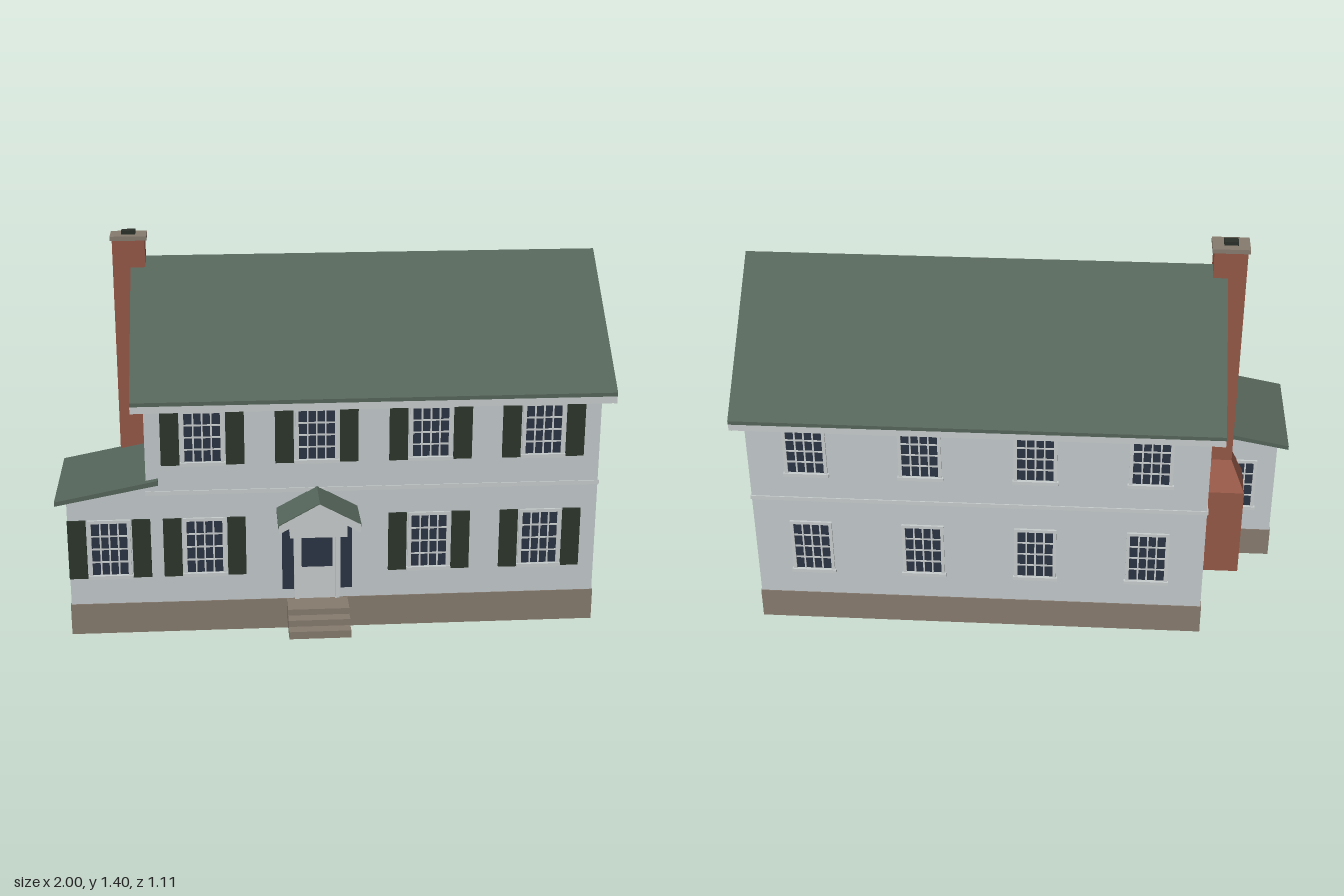
import * as THREE from 'three';

const mat = (name, color) => {
  const m = new THREE.MeshStandardMaterial({ color });
  m.name = name;
  return m;
};

export function createModel() {
  const house = new THREE.Group();
  house.name = 'house';
  const siding = mat('siding', 0xc3cacc), trim = mat('trim', 0xc8cdcd), roofGreen = mat('roof green', 0x55655a);
  const stone = mat('foundation stone', 0x877b6e), brick = mat('brick', 0x955846);
  const glass = mat('glass', 0x2c3444), shutterGreen = mat('shutter green', 0x2c362c), potDark = mat('flue', 0x2a302a);

  const add = (name, geo, m, parent = house) => {
    const mesh = new THREE.Mesh(geo, m);
    mesh.name = name;
    parent.add(mesh);
    return mesh;
  };
  // Box given by its limits on each axis
  const box = (name, m, x0, x1, y0, y1, z0, z1, parent) =>
    add(name, new THREE.BoxGeometry(x1 - x0, y1 - y0, z1 - z0)
      .translate((x0 + x1) / 2, (y0 + y1) / 2, (z0 + z1) / 2), m, parent);
  const shapeOf = pts => new THREE.Shape(pts.map(p => new THREE.Vector2(p[0], p[1])));
  const prism = (pts, depth) => new THREE.ExtrudeGeometry(shapeOf(pts), { depth, bevelEnabled: false });
  // Inverted V slab, t measured vertically
  const chevron = (half, apex, eave, t) => [
    [-half, eave], [-half, eave - t], [0, apex - t], [half, eave - t], [half, eave], [0, apex]];
  // Extrude a z-y profile along x
  const alongX = (pts, x0, x1, zc) => prism(pts, x1 - x0).rotateY(Math.PI / 2).translate(x0, 0, zc);

  // Main block
  const L = -0.676, R = 0.952, F = 0.378, B = -0.504, ZC = -0.063, H = 0.441;
  add('mainWalls', alongX([[-H, 0.1], [H, 0.1], [H, 0.915], [0, 1.283], [-H, 0.915]], L, R, ZC), siding);
  box('mainFoundation', stone, L - 0.003, R + 0.003, 0, 0.118, B - 0.003, F + 0.003);
  box('beltCourse', trim, L - 0.004, R + 0.004, 0.537, 0.552, B - 0.004, F + 0.004);

  // Main roof with rake boards and fascias
  const RX0 = -0.72, RX1 = 0.995;
  add('mainRoof', alongX(chevron(0.491, 1.305, 0.9, 0.014), RX0, RX1, ZC), roofGreen);
  for (const x of [RX0, RX1 - 0.012])
    add('rakeBoard', alongX(chevron(0.488, 1.3, 0.895, 0.036), x, x + 0.012, ZC), trim);
  for (const s of [-1, 1]) {
    const z = ZC + s * 0.483;
    box('eaveFascia', trim, RX0 + 0.001, RX1 - 0.001, 0.86, 0.89, z - 0.005, z + 0.005);
  }

  // Side wing with lean-to roof
  const WX = -0.96, WB = -0.02;
  add('wingWalls', prism([[WX, 0.1], [-0.66, 0.1], [-0.66, 0.573], [WX, 0.513]], F - 0.001 - WB)
    .translate(0, 0, WB), siding);
  box('wingFoundation', stone, WX - 0.003, -0.66, 0, 0.118, WB - 0.003, F + 0.003);
  add('wingRoof', prism([[-1, 0.513], [-0.632, 0.583], [-0.632, 0.601], [-1, 0.529]], 0.446)
    .translate(0, 0, -0.042), roofGreen);

  // Chimney: wide base, sloped shoulder, shaft, cap and flue
  box('chimneyBase', brick, -0.834, -0.66, 0.03, 0.4, -0.177, 0.05);
  const shoulder = new THREE.BoxGeometry(1, 1, 1);
  const p = shoulder.attributes.position;
  for (let i = 0; i < p.count; i++) {
    const top = p.getY(i) > 0;
    p.setXYZ(i, p.getX(i) > 0 ? -0.66 : top ? -0.784 : -0.834, top ? 0.5 : 0.4,
      p.getZ(i) > 0 ? (top ? -0.022 : 0.05) : (top ? -0.104 : -0.177));
  }
  shoulder.computeVertexNormals();
  add('chimneyShoulder', shoulder, brick);
  box('chimneyShaft', brick, -0.784, -0.666, 0.5, 1.372, -0.104, -0.022);
  box('chimneyCap', stone, -0.791, -0.659, 1.372, 1.388, -0.112, -0.014);
  box('chimneyFlue', potDark, -0.75, -0.7, 1.388, 1.402, -0.08, -0.046);

  // Window on a wall, built facing +z and then turned
  const W = 0.152;
  const addWindow = (x, z, turn, upper, shutters = false) => {
    const [y0, y1] = upper ? [0.65, 0.855] : [0.222, 0.446];
    const g = new THREE.Group();
    g.name = 'window';
    g.position.set(x, 0, z);
    g.rotation.y = turn;
    house.add(g);
    const h = W / 2, b = 0.012;
    box('glass', glass, -h + b, h - b, y0 + b, y1 - b, -0.002, 0.002, g);
    for (const s of [-1, 1]) {
      const c = s * (h - b / 2);
      box('frameSide', trim, c - b / 2, c + b / 2, y0, y1, -0.002, 0.007, g);
      if (shutters) box('shutter', shutterGreen, s * 0.115 - 0.033, s * 0.115 + 0.033, y0, y1, -0.002, 0.008, g);
    }
    box('frameTop', trim, -h, h, y1 - b, y1, -0.002, 0.0075, g);
    box('sill', trim, -h - 0.005, h + 0.005, y0 - 0.003, y0 + b - 0.002, -0.002, 0.012, g);
    for (let i = 1; i < 4; i++) {
      const u = -h + b + (W - 2 * b) * i / 4, v = y0 + b + (y1 - y0 - 2 * b) * i / 4;
      box('muntin', trim, u - 0.003, u + 0.003, y0 + b, y1 - b, -0.001, 0.005, g);
      box('muntin', trim, -h + b, h - b, v - 0.003, v + 0.003, -0.001, 0.0045, g);
    }
  };
  const DX = -0.067;
  for (const x of [-0.472, DX, 0.34, 0.746]) {
    addWindow(x, F, 0, true, true);
    if (x !== DX) addWindow(x, F, 0, false, true);
    for (const up of [true, false]) addWindow(x, B, Math.PI, up);
  }
  for (const up of [true, false]) {
    for (const z of [0.16, -0.283]) addWindow(R, z, Math.PI / 2, up);
    addWindow(L, -0.283, -Math.PI / 2, up);
  }
  addWindow(-0.813, F, 0, false, true);
  addWindow(-0.813, WB, Math.PI, false);
  addWindow(WX, 0.18, -Math.PI / 2, false);

  // Entrance: door, sidelights, gabled hood and steps
  const entry = new THREE.Group();
  entry.name = 'entrance';
  entry.position.x = DX;
  house.add(entry);
  box('door', trim, -0.066, 0.066, 0.117, 0.412, F - 0.002, F + 0.003, entry);
  box('doorGlass', glass, -0.056, 0.056, 0.243, 0.4, F, F + 0.005, entry);
  box('doorHeadStrip', brick, -0.066, 0.066, 0.412, 0.418, F, F + 0.004, entry);
  for (const s of [-1, 1]) {
    box('doorPost', trim, s * 0.074 - 0.008, s * 0.074 + 0.008, 0.117, 0.425, F - 0.002, F + 0.009, entry);
    box('sidelight', glass, s * 0.106 - 0.021, s * 0.106 + 0.021, 0.157, 0.412, F - 0.002, F + 0.006, entry);
    box('hoodFascia', trim, s * 0.139 - 0.004, s * 0.139 + 0.004, 0.444, 0.472, F, 0.54, entry);
  }
  box('hoodBeam', trim, -0.102, 0.102, 0.397, 0.47, F, 0.475, entry);
  add('hoodGable', prism([[-0.13, 0.46], [0.13, 0.46], [0, 0.533]], 0.145).translate(0, 0, F), trim, entry);
  add('hoodRoof', prism(chevron(0.146, 0.556, 0.476, 0.011), 0.165).translate(0, 0, F), roofGreen, entry);
  add('hoodRake', prism(chevron(0.144, 0.552, 0.473, 0.03), 0.01).translate(0, 0, 0.534), trim, entry);
  [[0.56, 0.07], [0.518, 0.094], [0.475, 0.117]].forEach(([z, y], i) =>
    box('step', stone, -0.111, 0.111, i ? y - 0.024 : 0.042, y, F, z, entry));

  return house;
}
